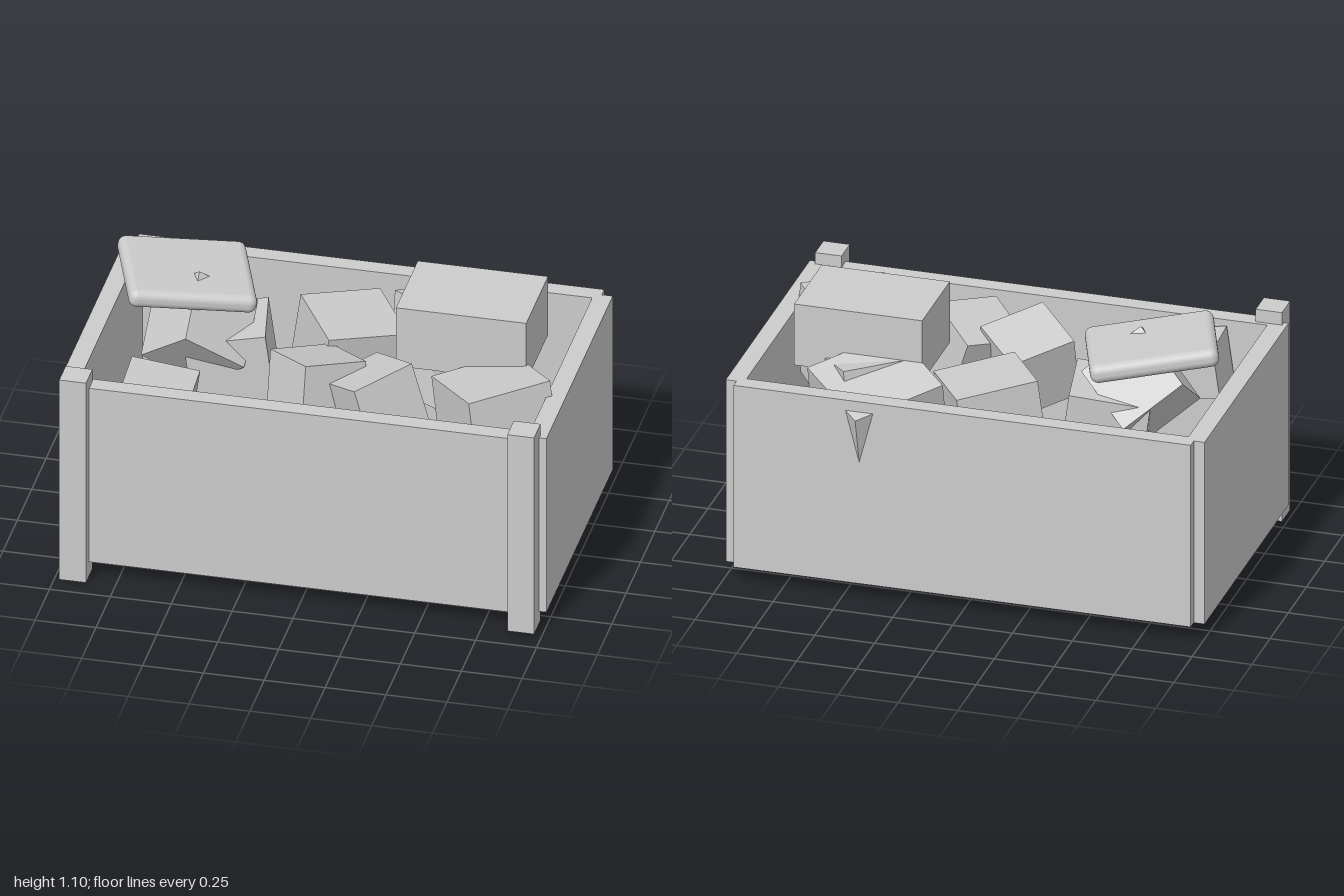
import * as THREE from 'three';
import { RoundedBoxGeometry } from 'three/addons/geometries/RoundedBoxGeometry.js';

export function createModel() {
  const model = new THREE.Group();
  model.name = 'crateOfBoxes';
  const grey = new THREE.MeshStandardMaterial({ color: 0xcccccc });
  grey.name = 'plainGrey';
  const rad = THREE.MathUtils.degToRad;

  // Adds a part: turned about y first, then leaned about z and x (degrees)
  function add(name, geometry, [x, y, z], [rx, ry, rz] = [0, 0, 0]) {
    const mesh = new THREE.Mesh(geometry, grey);
    mesh.name = name;
    mesh.position.set(x, y, z);
    mesh.rotation.set(rad(rx), rad(ry), rad(rz), 'XZY');
    model.add(mesh);
  }
  const box = (w, h, d) => new THREE.BoxGeometry(w, h, d);

  // Open crate without a floor
  add('frontWall', box(1.9, 0.805, 0.075), [0, 0.4675, 0.573]);
  add('backWall', box(1.91, 0.805, 0.075), [0, 0.4675, -0.582]);
  for (const [name, side] of [['leftWall', 1], ['rightWall', -1]]) {
    add(name, box(0.077, 0.805, 1.155), [side * 0.9615, 0.4675, 0]);
  }

  // Front corner posts
  add('leftPost', box(0.11, 0.91, 0.113), [0.915, 0.465, 0.609]);
  add('rightPost', box(0.11, 0.925, 0.113), [-0.925, 0.4625, 0.609]);

  // Jumbled cubes: size, position, lean
  const cubes = [
    [0.34, [0.0, 0.69, -0.22], [0, 33, -8]],
    [0.28, [-0.035, 0.745, 0.2], [-16, 43, 0]],
    [0.28, [0.22, 0.74, 0.25], [-6, 45, 18]],
    [0.36, [0.71, 0.72, 0.23], [-6, 38, 8]],
    [0.4, [0.43, 0.69, -0.35], [-15, 45, 0]],
    [0.34, [0.5, 0.72, -0.23], [6, 38, -6]],
    [0.33, [-0.45, 0.67, -0.09], [0, 11, 8]],
    [0.3, [-0.57, 0.82, -0.04], [-54.7, 45, 0]],
  ];
  cubes.forEach(([size, at, lean], i) => add('cube' + (i + 1), box(size, size, size), at, lean));
  add('smallBox', box(0.28, 0.21, 0.235), [-0.64, 0.725, 0.4], [0, 3, -8]);

  // Large box resting on top
  add('largeBox', box(0.535, 0.27, 0.38), [0.535, 0.965, -0.098]);

  // Rounded slab leaning on the heap
  add('roundedSlab', new RoundedBoxGeometry(0.52, 0.078, 0.45, 4, 0.034), [-0.635, 1.025, -0.1], [0, 20, -8]);

  return model;
}
